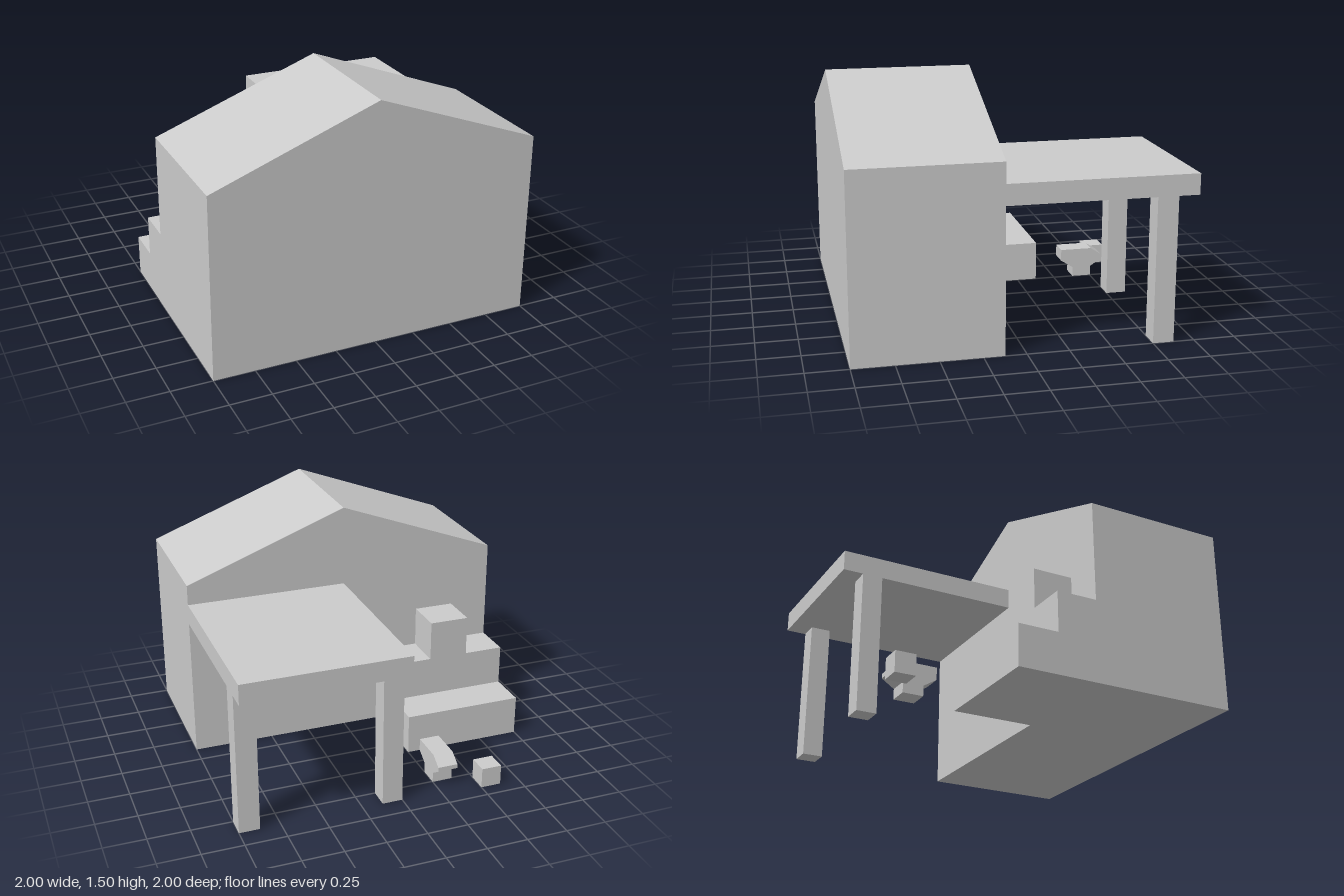
import * as THREE from 'three';

const material = new THREE.MeshStandardMaterial({ color: 0xcccccc, flatShading: true });

function add(group, name, geometry) {
  const mesh = new THREE.Mesh(geometry, material);
  mesh.name = name;
  group.add(mesh);
  return mesh;
}

// Box given by its [min, max] range on each axis
function block(group, name, [x0, x1], [y0, y1], [z0, z1]) {
  add(group, name, new THREE.BoxGeometry(x1 - x0, y1 - y0, z1 - z0))
    .position.set((x0 + x1) / 2, (y0 + y1) / 2, (z0 + z1) / 2);
}

function prism(points, depth) {
  const shape = new THREE.Shape(points.map(([x, y]) => new THREE.Vector2(x, y)));
  return new THREE.ExtrudeGeometry(shape, { depth, bevelEnabled: false });
}

export function createModel() {
  const model = new THREE.Group();
  model.name = 'houseWithPorch';

  // Gabled house
  const gable = [[-1, 0], [1, 0], [1, 1.125], [0, 1.5], [-1, 1.125]];
  add(model, 'house', prism(gable, 0.875)).position.z = 0.125;

  // Flat porch roof on two corner posts
  const porch = new THREE.Group();
  porch.name = 'porch';
  model.add(porch);
  block(porch, 'porchRoof', [0, 1], [0.875, 1], [-1, 0.125]);
  for (const x of [0, 0.875]) {
    block(porch, 'porchPost', [x, x + 0.125], [0, 0.875], [-0.875, -0.75]);
  }

  // Fireplace: hearth, firebox and chimney stub
  const fireplace = new THREE.Group();
  fireplace.name = 'steppedFireplace';
  model.add(fireplace);
  block(fireplace, 'hearth', [-1, -0.25], [0, 0.25], [-0.375, 0.125]);
  block(fireplace, 'middleTier', [-1, -0.25], [0.25, 0.5], [-0.125, 0.125]);
  block(fireplace, 'topBlock', [-0.75, -0.5], [0.5, 0.75], [-0.125, 0.125]);

  // Anvil-like block: profile in (z, y), extruded across x
  const profile = [
    [-0.755, 0], [-0.63, 0], [-0.63, 0.063], [-0.55, 0.113], [-0.55, 0.188],
    [-0.755, 0.188], [-0.83, 0.14], [-0.83, 0.113], [-0.755, 0.063],
  ];
  add(model, 'anvil', prism(profile, 0.125).rotateY(-Math.PI / 2)).position.x = -0.25;

  // Small cube on the ground
  block(model, 'smallCube', [-0.625, -0.5], [0, 0.125], [-0.915, -0.79]);

  return model;
}
